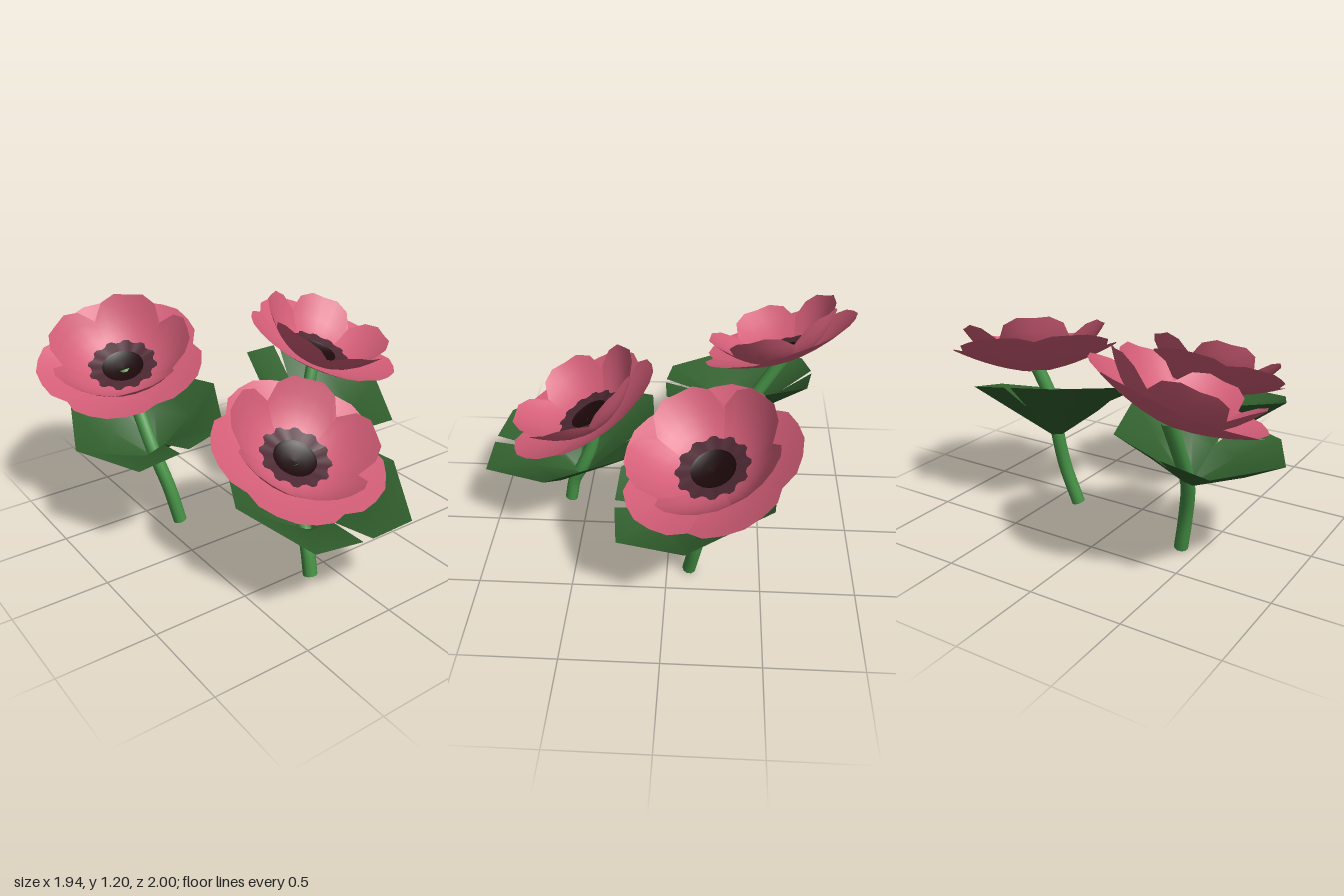
import * as THREE from 'three';

const mat = (name, color, side = THREE.DoubleSide) => {
  const m = new THREE.MeshStandardMaterial({ color, side });
  m.name = name;
  return m;
};
const rad = THREE.MathUtils.degToRad;

// Surface from a grid of cross-sections: point(row, col) gives [x, y, z]
function sheet(rows, cols, point) {
  const pos = [], index = [];
  for (let i = 0; i < rows; i++)
    for (let j = 0; j < cols; j++) pos.push(...point(i, j));
  for (let i = 0; i < rows - 1; i++)
    for (let j = 0; j < cols - 1; j++) {
      const a = i * cols + j, b = a + 1, c = a + cols, d = c + 1;
      index.push(a, b, c, b, d, c);
    }
  const g = new THREE.BufferGeometry();
  g.setAttribute('position', new THREE.Float32BufferAttribute(pos, 3));
  g.setIndex(index);
  g.computeVertexNormals();
  return g;
}

// One wide cupped petal pointing to the back; lobe scales the rim across its width
function petalGeometry(R, H, power, lobe) {
  const rows = 8, cols = lobe.length;
  return sheet(rows, cols, (i, j) => {
    const t = 0.1 + 0.9 * i / (rows - 1);
    const k = t * (1 + (lobe[j] - 1) * t * t);
    const a = rad(37) * (j / (cols - 1) * 2 - 1);
    return [R * k * Math.sin(a), H * Math.pow(k, power), -R * k * Math.cos(a)];
  });
}

// Half of the leaf collar: a steep cone that flattens towards a five-point rim
function leafGeometry(side) {
  const rings = [
    [[0, 0, -0.03], [0.015, 0, -0.02], [0.03, 0, 0], [0.015, 0, 0.02], [0, 0, 0.03]],
    [[0, 0.15, -0.27], [0.14, 0.12, -0.19], [0.25, 0.14, 0.02], [0.13, 0.155, 0.18], [0, 0.155, 0.16]],
    [[0.02, 0.25, -0.44], [0.25, 0.25, -0.4], [0.42, 0.27, 0.03], [0.25, 0.25, 0.38], [0.025, 0.25, 0.4]],
  ];
  return sheet(rings.length, 5, (i, j) => {
    const [x, y, z] = rings[i][j];
    return [side * x, y, z];
  });
}

// Ring of stamens around the centre, with square teeth
function stamenGeometry() {
  const n = 48;
  return sheet(2, n + 1, (i, j) => {
    const a = (j % n) / n * Math.PI * 2;
    const r = i === 0 ? 0.105 : (j % 4 < 2 ? 0.187 : 0.168);
    return [r * Math.cos(a), i === 0 ? 0.05 : 0.066, r * Math.sin(a)];
  });
}

export function createModel() {
  const model = new THREE.Group();
  model.name = 'flowers';

  const pink = mat('petal pink', 0xd45e78);
  const leafGreen = mat('leaf green', 0x32602e);
  const stemGreen = mat('stem green', 0x469246);
  const plum = mat('stamen plum', 0x4c2832);
  const dark = mat('centre dark', 0x1c080a);

  const outerPetal = petalGeometry(0.45, 0.14, 1.7, [0.87, 0.96, 0.98, 1, 0.98, 0.96, 0.87]);
  const innerPetal = petalGeometry(0.378, 0.238, 2.4, [0.8, 0.95, 1, 0.99, 1, 0.95, 0.8]);
  const stamens = stamenGeometry();
  const centre = new THREE.LatheGeometry(
    [[0.001, 0.03], [0.06, 0.035], [0.1, 0.048], [0.112, 0.055]].map(p => new THREE.Vector2(...p)), 24);
  const leaves = [leafGeometry(1), leafGeometry(-1)];

  const add = (parent, name, geometry, material) => {
    const m = new THREE.Mesh(geometry, material);
    m.name = name;
    parent.add(m);
    return m;
  };

  // head: blossom base, tilt: forward and sideways degrees, collar: leaf base
  const plants = [
    {
      name: 'frontFlower', head: [-0.165, 0.6, 0.432], tilt: [28, 0],
      collar: [-0.13, 0.28, 0.51], leafTilt: [12, 0], yaw: -4, leafSize: 1.1,
      stem: [[-0.165, 0.045, 0.595], [-0.163, 0.19, 0.565], [-0.15, 0.3, 0.51], [-0.16, 0.46, 0.45], [-0.165, 0.615, 0.435]],
    },
    {
      name: 'rightFlower', head: [-0.515, 0.825, -0.622], tilt: [20, -15],
      collar: [-0.495, 0.43, -0.37], leafTilt: [6, -12], yaw: 0, leafSize: 1,
      stem: [[-0.405, 0.015, -0.28], [-0.445, 0.22, -0.31], [-0.49, 0.43, -0.38], [-0.505, 0.64, -0.5], [-0.515, 0.84, -0.62]],
    },
    {
      name: 'leftFlower', head: [0.512, 0.795, -0.245], tilt: [17, 14],
      collar: [0.43, 0.43, -0.2], leafTilt: [17, 8], yaw: 0, leafSize: 1,
      stem: [[0.353, 0.01, -0.12], [0.41, 0.23, -0.155], [0.428, 0.43, -0.19], [0.445, 0.62, -0.205], [0.508, 0.81, -0.24]],
    },
  ];

  for (const p of plants) {
    const plant = new THREE.Group();
    plant.name = p.name;
    model.add(plant);

    // Bent stem with a closed foot
    const curve = new THREE.CatmullRomCurve3(p.stem.map(v => new THREE.Vector3(...v)));
    add(plant, 'stem', new THREE.TubeGeometry(curve, 16, 0.037, 10), stemGreen);
    const foot = add(plant, 'stemFoot', new THREE.CircleGeometry(0.037, 10), stemGreen);
    foot.position.copy(curve.getPoint(0));
    foot.quaternion.setFromUnitVectors(new THREE.Vector3(0, 0, 1), curve.getTangent(0).negate());

    // Leaf collar in two halves, notched front and back
    const collar = new THREE.Group();
    collar.name = 'leaves';
    collar.position.set(...p.collar);
    collar.rotation.set(rad(p.leafTilt[0]), rad(p.yaw), -rad(p.leafTilt[1]));
    collar.scale.setScalar(p.leafSize);
    leaves.forEach((g, i) => add(collar, i ? 'rightLeaf' : 'leftLeaf', g, leafGreen));
    plant.add(collar);

    // Blossom: two staggered rings of five petals, stamens and centre
    const head = new THREE.Group();
    head.name = 'blossom';
    head.position.set(...p.head);
    head.rotation.set(rad(p.tilt[0]), 0, -rad(p.tilt[1]));
    for (let i = 0; i < 5; i++) {
      add(head, 'outerPetal', outerPetal, pink).rotation.y = rad(72 * i);
      add(head, 'innerPetal', innerPetal, pink).rotation.y = rad(72 * i + 36);
    }
    add(head, 'stamens', stamens, plum);
    add(head, 'flowerCentre', centre, dark);
    plant.add(head);
  }
  return model;
}
